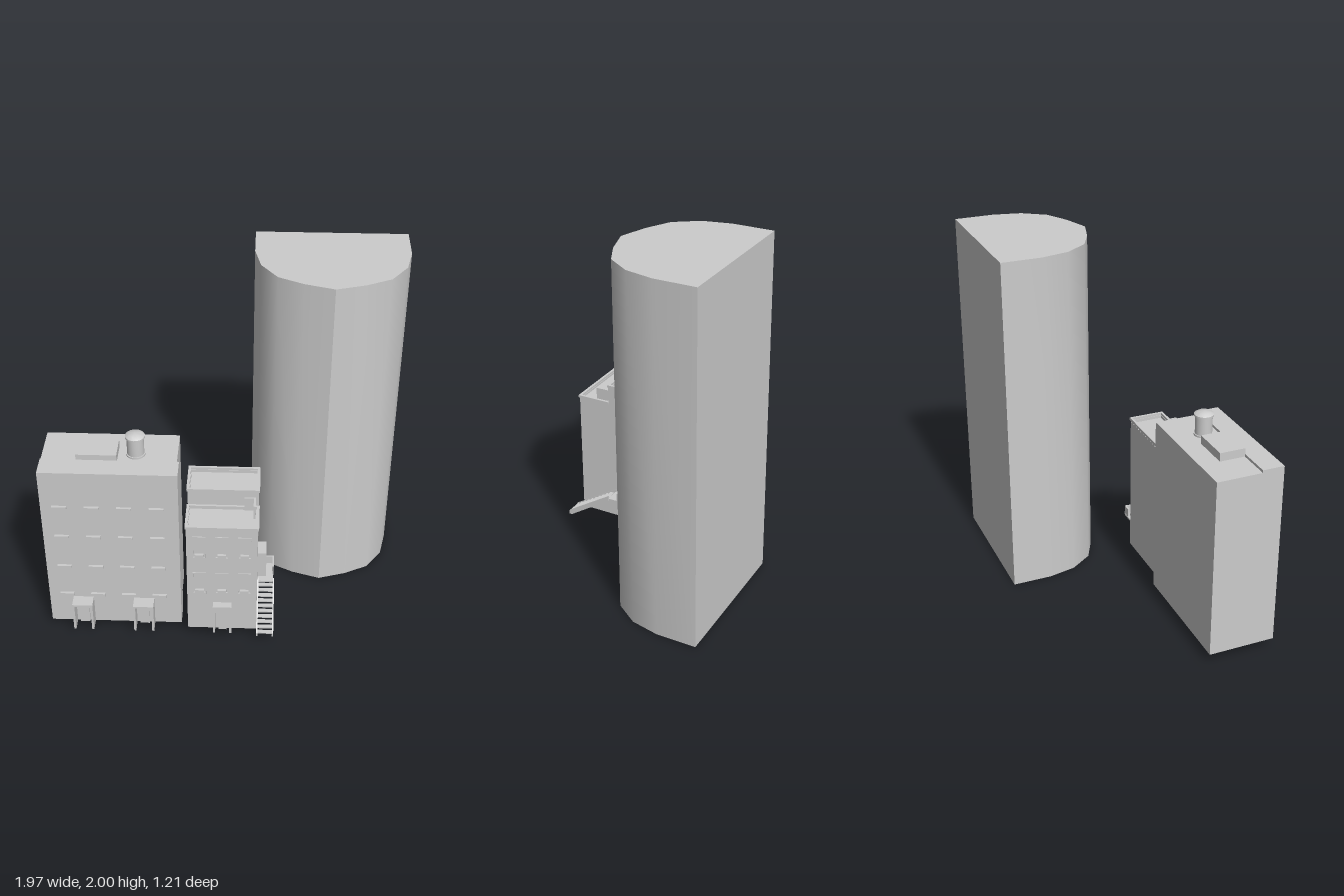
import * as THREE from 'three';
import { toCreasedNormals } from 'three/addons/utils/BufferGeometryUtils.js';

const grey = new THREE.MeshStandardMaterial({ color: 0xcccccc });

function add(parent, name, geometry) {
  const mesh = new THREE.Mesh(geometry, grey);
  mesh.name = name;
  parent.add(mesh);
  return mesh;
}

// Box given by its limits on each axis
function box(parent, name, x0, x1, y0, y1, z0, z1) {
  const mesh = add(parent, name, new THREE.BoxGeometry(x1 - x0, y1 - y0, z1 - z0));
  mesh.position.set((x0 + x1) / 2, (y0 + y1) / 2, (z0 + z1) / 2);
  return mesh;
}

function group(parent, name) {
  const g = new THREE.Group();
  g.name = name;
  parent.add(g);
  return g;
}

// Four-sided raised edge around a flat roof
function roofRim(parent, name, x0, x1, y0, y1, z0, z1, t) {
  const g = group(parent, name);
  box(g, 'rimFront', x0, x1, y0, y1, z1 - t, z1);
  box(g, 'rimBack', x0, x1, y0, y1, z0, z0 + t);
  box(g, 'rimRight', x0, x0 + t, y0, y1, z0 + t, z1 - t);
  box(g, 'rimLeft', x1 - t, x1, y0, y1, z0 + t, z1 - t);
}

// Doorway with side walls, a roof slab and a recessed door, facing +z
function porch(parent, name, width, height, depth) {
  const g = group(parent, name);
  const w = width / 2, t = 0.012;
  for (const s of [-1, 1]) {
    const wall = box(g, 'porchWall', -t / 2, t / 2, 0, height - t, 0, depth);
    wall.position.x = s * (w - t / 2);
  }
  box(g, 'porchRoof', -w, w, height - t, height, 0, depth);
  box(g, 'doorPanel', -w + 0.03, w - 0.03, 0, height - 0.035, 0, 0.012);
  return g;
}

// Half-round tower with a flat back
function buildTower(model) {
  const half = [[0.4225, -0.6], [0.4225, -0.37], [0.388, -0.21], [0.298, -0.08], [0.16, -0.01], [0, 0.04]];
  const outline = [...half, ...half.slice(0, -1).reverse().map(([x, z]) => [-x, z])];
  const shape = new THREE.Shape(outline.map(([x, z]) => new THREE.Vector2(x, -z)));
  const geo = new THREE.ExtrudeGeometry(shape, { depth: 2, bevelEnabled: false });
  geo.rotateX(-Math.PI / 2);
  add(model, 'tower', toCreasedNormals(geo, 0.6)).position.x = 0.5625;
}

function buildApartments(model) {
  const g = group(model, 'apartmentBlock');
  box(g, 'frontBlock', -0.988, -0.24, 0.06, 1.13, 0.385, 0.51);
  box(g, 'rearBlock', -0.988, -0.253, 0.06, 1.115, 0.125, 0.385);
  box(g, 'roofHousing', -0.795, -0.575, 1.11, 1.163, 0.24, 0.387);

  // Water tank on the roof
  const profile = [[0, 1.11], [0.053, 1.11], [0.053, 1.125], [0.047, 1.125], [0.047, 1.225],
    [0.054, 1.228], [0.054, 1.238], [0.035, 1.25], [0, 1.255]];
  const tank = new THREE.LatheGeometry(profile.map(([r, y]) => new THREE.Vector2(r, y)), 24);
  add(g, 'waterTank', toCreasedNormals(tank, 0.5)).position.set(-0.48, 0, 0.302);

  // Window ledges
  for (const y of [0.27, 0.478, 0.695, 0.9])
    for (const x of [-0.885, -0.71, -0.535, -0.36])
      box(g, 'windowLedge', x - 0.04, x + 0.04, y - 0.009, y + 0.009, 0.505, 0.525);

  for (const x of [-0.795, -0.45]) {
    const p = porch(g, 'entrance', 0.115, 0.185, 0.075);
    p.position.set(x, 0.06, 0.51);
  }
}

function buildTownhouse(model) {
  const g = group(model, 'townhouse');
  box(g, 'frontBlock', -0.2, 0.19, 0.075, 0.805, 0.36, 0.56);
  box(g, 'rearBlock', -0.2, 0.19, 0.075, 0.905, 0.168, 0.368);
  roofRim(g, 'frontParapet', -0.2, 0.19, 0.8, 0.815, 0.368, 0.56, 0.012);
  roofRim(g, 'frontCornice', -0.206, 0.196, 0.812, 0.826, 0.366, 0.566, 0.015);
  roofRim(g, 'rearParapet', -0.2, 0.19, 0.9, 0.922, 0.168, 0.368, 0.012);
  roofRim(g, 'rearCornice', -0.206, 0.196, 0.92, 0.935, 0.163, 0.373, 0.015);

  // Small blocks under the cornices
  for (let i = 0; i < 12; i++) {
    const x = -0.187 + i * 0.033;
    box(g, 'dentil', x - 0.004, x + 0.004, 0.802, 0.812, 0.558, 0.564);
    box(g, 'dentil', x - 0.004, x + 0.004, 0.91, 0.92, 0.164, 0.17);
  }

  // Framed windows, each with a sill and box
  for (const y of [0.34, 0.6])
    for (const x of [-0.13, -0.005, 0.12]) {
      const w = group(g, 'window');
      for (const s of [-1, 1])
        box(w, 'jamb', x + s * 0.034 - 0.003, x + s * 0.034 + 0.003, y, y + 0.158, 0.555, 0.565);
      box(w, 'lintel', x - 0.034, x + 0.034, y + 0.152, y + 0.158, 0.555, 0.565);
      box(w, 'sill', x - 0.034, x + 0.034, y + 0.008, y + 0.014, 0.555, 0.568);
      box(w, 'windowBox', x - 0.024, x + 0.024, y + 0.014, y + 0.036, 0.555, 0.574);
    }

  porch(g, 'entrance', 0.105, 0.2, 0.042).position.set(-0.003, 0.075, 0.56);

  // Corner screen on the lower roof
  box(g, 'roofScreen', 0.112, 0.175, 0.805, 0.89, 0.376, 0.386);
  box(g, 'roofScreen', 0.163, 0.175, 0.805, 0.89, 0.386, 0.455);

  const side = porch(g, 'sideEntrance', 0.105, 0.178, 0.05);
  side.rotation.y = Math.PI / 2;
  side.position.set(0.19, 0.235, 0.242);
}

function buildStairs(model) {
  const g = group(model, 'sideStairs');
  box(g, 'landing', 0.19, 0.28, 0.228, 0.238, 0.17, 0.335);
  box(g, 'landingPanel', 0.235, 0.285, 0.23, 0.29, 0.172, 0.182);
  box(g, 'landingPanel', 0.276, 0.284, 0.23, 0.29, 0.172, 0.275);

  // Sloping side beams
  const profile = [[0.33, 0.228], [0.33, 0.258], [0.605, 0.083], [0.605, 0.06], [0.587, 0.06]];
  const shape = new THREE.Shape(profile.map(([z, y]) => new THREE.Vector2(-z, y)));
  const beam = new THREE.ExtrudeGeometry(shape, { depth: 0.008, bevelEnabled: false });
  beam.rotateY(Math.PI / 2);
  for (const x of [0.19, 0.28]) add(g, 'stringer', beam).position.x = x;

  const steps = 10;
  for (let i = 0; i < steps; i++) {
    const z = 0.59 - i * 0.026, y = 0.08 + i * 0.0163;
    box(g, 'tread', 0.196, 0.282, y - 0.003, y + 0.004, z - 0.013, z + 0.011);
  }
}

export function createModel() {
  const model = new THREE.Group();
  model.name = 'cityBuildings';
  buildTower(model);
  buildApartments(model);
  buildTownhouse(model);
  buildStairs(model);
  return model;
}
